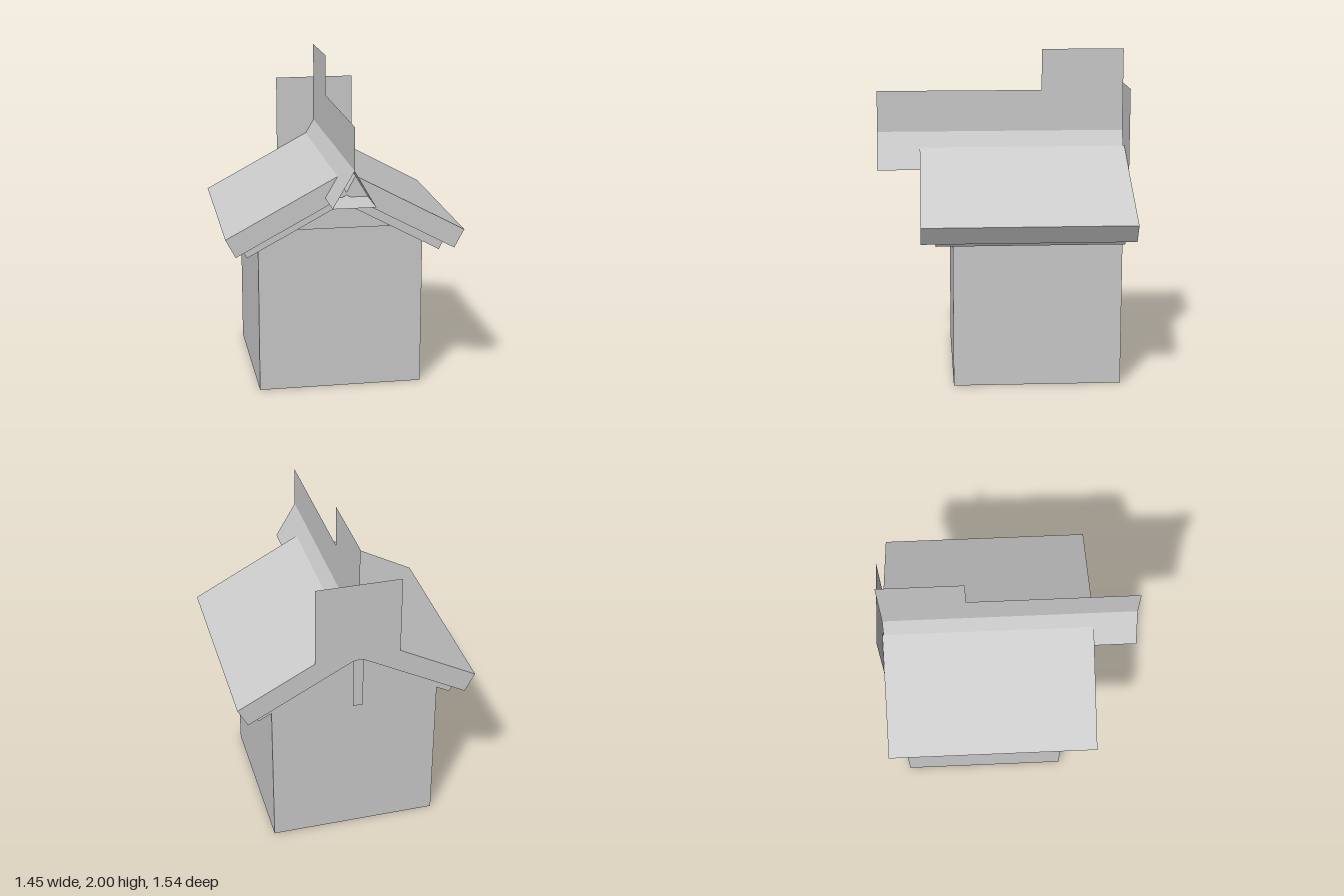
import * as THREE from 'three';

export function createModel() {
  const group = new THREE.Group();
  const solid = new THREE.MeshStandardMaterial({ color: 0xcccccc, flatShading: true });
  const sheet = new THREE.MeshStandardMaterial({ color: 0xcccccc, flatShading: true, side: THREE.DoubleSide });

  const add = (name, geometry, material = sheet) => {
    const mesh = new THREE.Mesh(geometry, material);
    mesh.name = name;
    group.add(mesh);
    return mesh;
  };
  const flat = (points) => new THREE.ShapeGeometry(new THREE.Shape(points.map(([a, b]) => new THREE.Vector2(a, b))));

  // Walls: open at top and bottom, the back one rising into a gable
  const half = 0.51, wallTop = 1.03, front = 0.32, back = -0.7;
  const depth = front - back, midZ = (front + back) / 2;
  add('frontWall', new THREE.PlaneGeometry(2 * half, wallTop)).position.set(0, wallTop / 2, front);
  add('backWall', flat([[-half, 0], [half, 0], [half, 0.97], [0, 1.24], [-half, 0.97]])).position.z = back;
  for (const side of [-1, 1]) {
    const wall = add(side > 0 ? 'leftWall' : 'rightWall', new THREE.PlaneGeometry(depth, wallTop));
    wall.rotation.y = side * Math.PI / 2;
    wall.position.set(side * half, wallTop / 2, midZ);
  }

  // Roof: an outer and a thinner inner slab on each side, sloping from the ridge
  const slope = 0.492;
  const slab = (name, side, eaveX, eaveY, length, thick, z0, z1) => {
    const geometry = new THREE.BoxGeometry(length, thick, z1 - z0);
    geometry.translate(-length / 2, -thick / 2, 0);
    const mesh = add(name, geometry, solid);
    // Origin of the slab is its upper eave corner
    mesh.rotation.set(0, side > 0 ? 0 : Math.PI, -slope);
    mesh.rotation.order = 'YXZ';
    mesh.position.set(side * eaveX, eaveY, (z0 + z1) / 2);
  };
  for (const side of [-1, 1]) {
    const label = side > 0 ? 'left' : 'right';
    slab(label + 'RoofSlab', side, 0.725, 1.038, 0.762, 0.127, -0.767, 0.512);
    slab(label + 'RoofLining', side, 0.62, 0.951, 0.7, 0.064, -0.705, 0.425);
  }

  // Ridge: open triangular tube made of three equal sheets
  const ridge = [[0, 1.49], [-0.128, 1.27], [0.128, 1.27]];
  const z0 = -0.76, z1 = 0.775;
  ridge.forEach(([ax, ay], i) => {
    const [bx, by] = ridge[(i + 1) % 3];
    const panel = add('ridgePanel', new THREE.PlaneGeometry(Math.hypot(bx - ax, by - ay), z1 - z0).rotateX(-Math.PI / 2));
    panel.rotation.z = Math.atan2(by - ay, bx - ax);
    panel.position.set((ax + bx) / 2, (ay + by) / 2, (z0 + z1) / 2);
  });

  // Upright crest along the ridge, taller at the back
  const crest = flat([[-z1, 1.48], [-z0, 1.48], [-z0, 2], [0.25, 2], [0.25, 1.745], [-z1, 1.745]]);
  add('ridgeCrest', crest).rotation.y = Math.PI / 2;

  // Rear board above the gable and the narrow post below it
  add('rearBoard', new THREE.PlaneGeometry(0.512, 0.51)).position.set(0.006, 1.525, -0.769);
  add('rearPost', new THREE.PlaneGeometry(0.06, 0.36)).position.set(0, 1.12, -0.76);

  return group;
}
